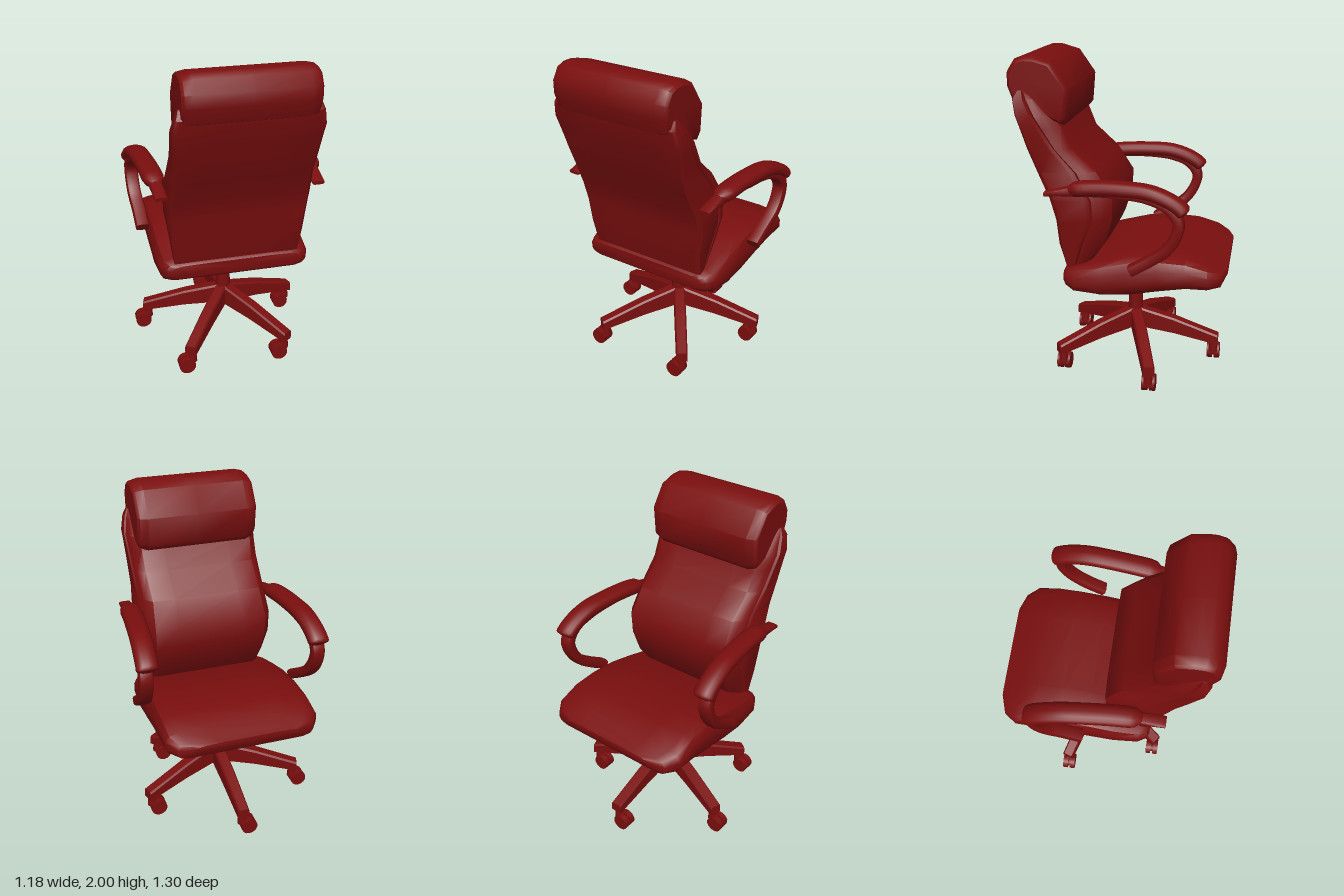
import * as THREE from 'three';
import { toCreasedNormals } from 'three/addons/utils/BufferGeometryUtils.js';

const red = new THREE.MeshStandardMaterial({ color: 0x7a0e0e });
const V = (x, y, z) => new THREE.Vector3(x, y, z);

function part(parent, name, geometry, x = 0, y = 0, z = 0) {
  const mesh = new THREE.Mesh(geometry, red);
  mesh.name = name;
  mesh.position.set(x, y, z);
  parent.add(mesh);
  return mesh;
}

// Skin closed rings of points into a capped solid, faces turned outward
function loft(rings, crease = 0.7) {
  const n = rings[0].length, points = rings.flat(), tris = [];
  for (let i = 0; i < rings.length - 1; i++) {
    for (let j = 0; j < n; j++) {
      const a = i * n + j, b = i * n + (j + 1) % n;
      tris.push([a, b, b + n], [a, b + n, a + n]);
    }
  }
  for (const end of [0, rings.length - 1]) {
    const c = points.length, o = end * n;
    points.push(rings[end].reduce((s, p) => s.add(p), V(0, 0, 0)).divideScalar(n));
    for (let j = 0; j < n; j++) {
      const a = o + j, b = o + (j + 1) % n;
      tris.push(end ? [a, b, c] : [b, a, c]);
    }
  }
  let volume = 0;
  for (const [a, b, c] of tris) volume += points[a].dot(points[b].clone().cross(points[c]));
  if (volume < 0) tris.forEach((t) => t.reverse());
  const g = new THREE.BufferGeometry().setFromPoints(points);
  g.setIndex(tris.flat());
  return toCreasedNormals(g, crease);
}

// Rounded bar along a path; size(t) gives half width and half thickness
function bar(path, steps, sides, power, size) {
  const curve = new THREE.CatmullRomCurve3(path);
  const rings = [];
  for (let i = 0; i <= steps; i++) {
    const t = i / steps, p = curve.getPoint(t), d = curve.getTangent(t);
    const normal = V(0, d.z, -d.y).normalize(), [w, h] = size(t);
    const ring = [];
    for (let j = 0; j < sides; j++) {
      const a = (j + 0.5) / sides * Math.PI * 2, c = Math.cos(a), s = Math.sin(a);
      const u = Math.sign(c) * Math.abs(c) ** power * w;
      const v = Math.sign(s) * Math.abs(s) ** power * h;
      ring.push(p.clone().addScaledVector(normal, v).add(V(u, 0, 0)));
    }
    rings.push(ring);
  }
  return loft(rings);
}

// Cross-sections from back to front: z, half width, bottom, top
function seat() {
  const sections = [
    [0.33, 0.41, 0.65, 0.735], [0.315, 0.44, 0.635, 0.75], [0.26, 0.468, 0.605, 0.765],
    [0.1, 0.48, 0.59, 0.81], [-0.07, 0.48, 0.605, 0.855], [-0.25, 0.48, 0.64, 0.87],
    [-0.41, 0.48, 0.668, 0.86], [-0.54, 0.475, 0.672, 0.82],
    [-0.615, 0.42, 0.68, 0.785], [-0.65, 0.31, 0.735, 0.772],
  ];
  const half = [[0.85, 0], [0.96, 0.12], [1, 0.3], [1, 0.65], [0.95, 0.87], [0.84, 0.97], [0.5, 1]];
  const outline = [...half, ...half.map(([x, y]) => [-x, y]).reverse()];
  return loft(sections.map(([z, w, lo, hi]) => outline.map(([x, y]) => V(x * w, lo + y * (hi - lo), z))));
}

// Level sections: y, rear z, seam z, front z, half width
function backrest() {
  const sections = [
    [0.72, 0.31, 0.27, 0.21, 0.385], [0.9, 0.355, 0.21, 0.08, 0.405],
    [1.05, 0.365, 0.155, 0.035, 0.425], [1.18, 0.4, 0.165, 0.03, 0.43],
    [1.34, 0.475, 0.25, 0.13, 0.415], [1.475, 0.53, 0.37, 0.28, 0.418],
    [1.6, 0.57, 0.45, 0.33, 0.425], [1.67, 0.593, 0.49, 0.38, 0.43],
    [1.76, 0.61, 0.535, 0.45, 0.412], [1.81, 0.58, 0.55, 0.52, 0.395],
  ];
  return loft(sections.map(([y, rear, seam, front, w]) => {
    const cushion = seam - front, shell = rear - seam;
    const half = [
      [0.5, rear], [0.95, rear], [1, rear - shell * 0.12], [1, seam + shell * 0.12],
      [0.96, seam], [0.985, seam - cushion * 0.12], [0.95, seam - cushion * 0.5],
      [0.84, front + cushion * 0.04], [0.5, front],
    ];
    return [...half, ...half.map(([x, z]) => [-x, z]).reverse()].map(([x, z]) => V(x * w, y, z));
  }));
}

// Side outline (z, y) carried across x and drawn in at the ends
function headrest() {
  const outline = [
    [0.655, 1.91], [0.61, 1.98], [0.555, 2], [0.49, 2], [0.385, 1.97], [0.28, 1.82],
    [0.295, 1.64], [0.325, 1.605], [0.45, 1.66], [0.62, 1.735], [0.655, 1.83],
  ];
  const ends = [[-0.385, 0.84], [-0.37, 0.93], [-0.32, 1], [0, 1], [0.32, 1], [0.37, 0.93], [0.385, 0.84]];
  return loft(ends.map(([x, s]) => outline.map(([z, y]) => V(x, 1.84 + (y - 1.84) * s, 0.47 + (z - 0.47) * s))));
}

function armrest(side) {
  const arm = new THREE.Group();
  arm.name = side > 0 ? 'leftArmrest' : 'rightArmrest';
  const path = (list) => list.map(([x, y, z]) => V(x * side, y, z));
  // Flat strip from the backrest, looping down to the seat
  part(arm, 'armFrame', bar(path([
    [0.47, 1.232, 0.41], [0.475, 1.25, 0.3], [0.48, 1.262, 0.2], [0.5, 1.268, 0], [0.515, 1.25, -0.2],
    [0.53, 1.2, -0.32], [0.535, 1.12, -0.378], [0.535, 1.04, -0.365], [0.53, 0.95, -0.31],
    [0.52, 0.88, -0.22], [0.515, 0.805, -0.1],
  ]), 36, 12, 0.55, (t) => [t < 0.3 ? 0.037 : 0.043, Math.min(0.033, 0.012 + t * 0.12)]));
  // Padded top with rounded ends
  part(arm, 'armPad', bar(path([
    [0.476, 1.266, 0.27], [0.487, 1.284, 0.1], [0.5, 1.288, -0.05], [0.513, 1.28, -0.2],
    [0.522, 1.245, -0.31], [0.527, 1.2, -0.385], [0.53, 1.17, -0.41],
  ]), 28, 14, 0.85, (t) => {
    const e = Math.min(1, Math.min(t, 1 - t) / 0.09);
    const s = 0.45 + 0.55 * Math.sqrt(1 - (1 - e) ** 2);
    return [0.065 * s, 0.044 * s];
  }));
  return arm;
}

// Five-spoke base; every wheel trails the same way
function base() {
  const group = new THREE.Group();
  group.name = 'base';
  group.position.z = -0.045;
  part(group, 'column', new THREE.CylinderGeometry(0.042, 0.05, 0.36, 16), 0, 0.45, 0);
  const sections = [[0, 0.037, 0.22, 0.355], [0.26, 0.038, 0.185, 0.287], [0.545, 0.036, 0.125, 0.188]];
  for (let i = 0; i < 5; i++) {
    const angle = Math.PI + i * Math.PI * 2 / 5;
    const leg = part(group, 'leg', loft(sections.map(([z, w, lo, hi]) => [
      V(w, lo, z), V(w, hi - 0.012, z), V(w * 0.75, hi, z),
      V(-w * 0.75, hi, z), V(-w, hi - 0.012, z), V(-w, lo, z),
    ]), 0.4));
    leg.rotation.y = angle;

    const caster = new THREE.Group();
    caster.name = 'caster';
    caster.position.set(Math.sin(angle) * 0.515, 0, Math.cos(angle) * 0.515);
    group.add(caster);
    part(caster, 'stem', new THREE.CylinderGeometry(0.024, 0.03, 0.08, 10), 0, 0.105, 0);
    part(caster, 'fork', new THREE.BoxGeometry(0.055, 0.055, 0.035), -0.012, 0.075, 0);
    for (const s of [-1, 1]) {
      const wheel = new THREE.CylinderGeometry(0.052, 0.052, 0.034, 14).rotateX(Math.PI / 2);
      part(caster, 'wheel', wheel, -0.038, 0.052, s * 0.024);
    }
    part(caster, 'axle', new THREE.CylinderGeometry(0.035, 0.035, 0.03, 10).rotateX(Math.PI / 2), -0.038, 0.052, 0);
  }
  return group;
}

export function createModel() {
  const chair = new THREE.Group();
  chair.name = 'officeChair';
  part(chair, 'seat', seat());
  part(chair, 'backrest', backrest());
  part(chair, 'headrest', headrest());
  chair.add(armrest(1), armrest(-1), base());
  return chair;
}
